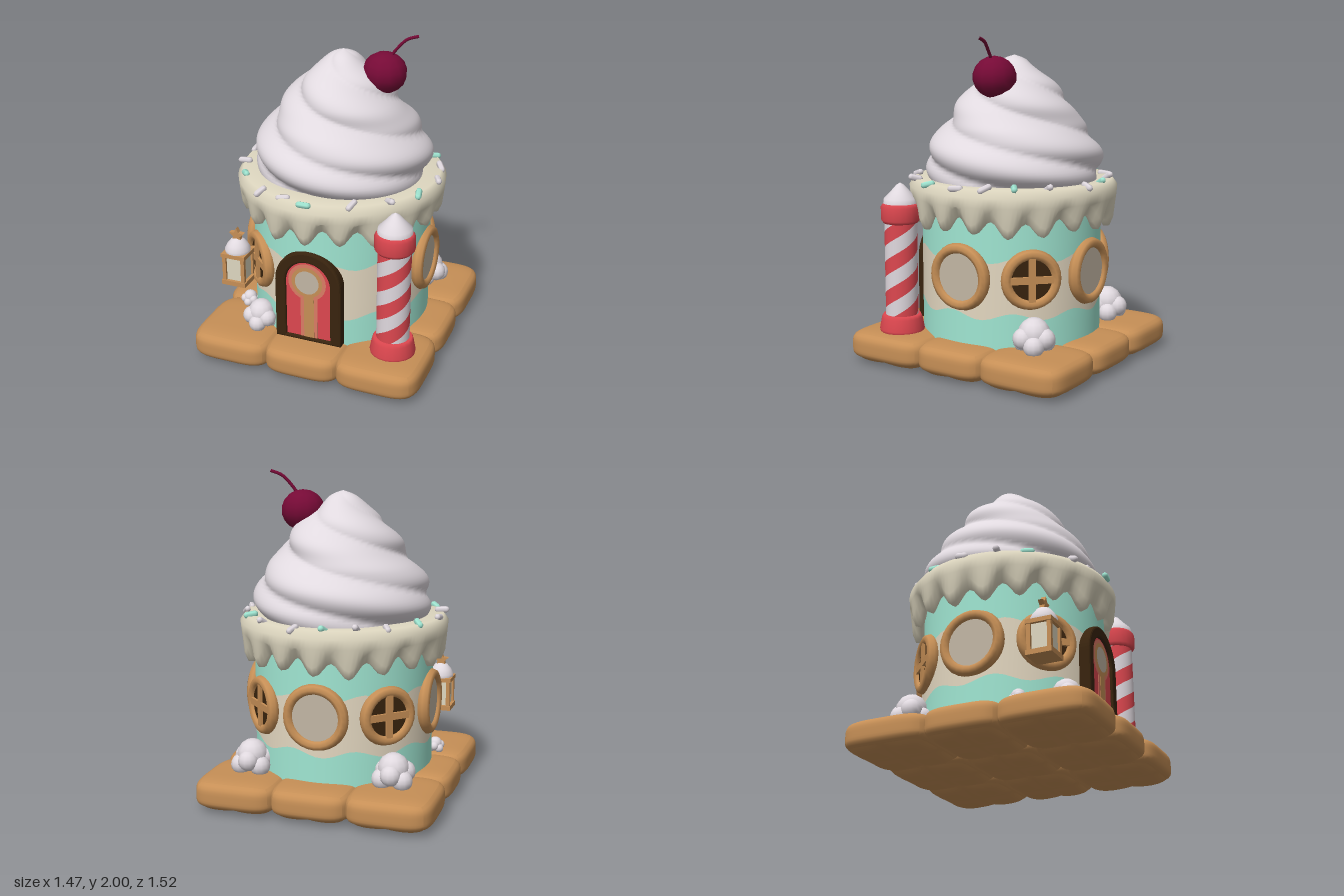
import * as THREE from 'three';

const TAU = Math.PI * 2;
const paint = (name, color) => {
  const m = new THREE.MeshStandardMaterial({ color });
  m.name = name;
  return m;
};

export function createModel() {
  const model = new THREE.Group();
  model.name = 'cupcakeHouse';
  const biscuit = paint('biscuit', 0xc68f56);
  const mint = paint('mint', 0xa0e6d2);
  const icing = paint('icing', 0xded7c0);
  const wall = paint('wallCream', 0xe3d7c0);
  const cream = paint('whippedCream', 0xe0d9df);
  const red = paint('candyRed', 0xdd474f);
  const chocolate = paint('chocolate', 0x39240e);
  const cherryRed = paint('cherryRed', 0x760a36);
  const glass = paint('glass', 0xc2b6a4);
  const salmon = paint('salmon', 0xdb7c64);

  let seed = 7;
  const rand = () => (seed = (seed * 16807) % 2147483647) / 2147483647;

  const add = (name, geo, mat, parent = model, x = 0, y = 0, z = 0) => {
    const m = new THREE.Mesh(geo, mat);
    m.name = name;
    m.position.set(x, y, z);
    parent.add(m);
    return m;
  };
  const group = (name, x = 0, y = 0, z = 0) => {
    const g = new THREE.Group();
    g.name = name;
    g.position.set(x, y, z);
    model.add(g);
    return g;
  };
  // Surface from fn(u, v) -> [angle, radius, y]; angle 0 faces +z
  const surface = (nu, nv, fn, closed = true) => {
    const pos = [], index = [], cols = closed ? nu : nu + 1;
    for (let j = 0; j <= nv; j++) for (let i = 0; i < cols; i++) {
      const [a, r, y] = fn(i / nu, j / nv);
      pos.push(Math.sin(a) * r, y, Math.cos(a) * r);
    }
    for (let j = 0; j < nv; j++) for (let i = 0; i < nu; i++) {
      const k = (i + 1) % cols, a = j * cols + i, b = j * cols + k;
      index.push(a, b, b + cols, a, b + cols, a + cols);
    }
    const g = new THREE.BufferGeometry();
    g.setAttribute('position', new THREE.Float32BufferAttribute(pos, 3));
    g.setIndex(index);
    g.computeVertexNormals();
    return g;
  };

  // Puffy pillow: a cube rounded by a power norm, with a lumpy underside
  const pillow = (w, h, d, n = 4.5) => {
    const g = new THREE.BoxGeometry(2, 2, 2, 16, 10, 16), p = g.attributes.position;
    for (let i = 0; i < p.count; i++) {
      const c = [p.getX(i), p.getY(i), p.getZ(i)];
      const s = c.reduce((t, q) => t + Math.abs(q) ** n, 0) ** (-1 / n) / 2;
      const lump = Math.sqrt(Math.abs(Math.sin(Math.PI * c[0]) * Math.sin(Math.PI * c[2])));
      const lift = c[1] < 0 ? 0.8 + 0.2 * lump : 1;
      p.setXYZ(i, c[0] * s * w, c[1] * s * h * lift, c[2] * s * d);
    }
    g.computeVertexNormals();
    return g;
  };

  // Biscuit base: three by three pillows
  const base = group('biscuitBase');
  for (let i = -1; i <= 1; i++) for (let k = -1; k <= 1; k++) {
    add('biscuitPillow', pillow(i ? 0.525 : 0.5, 0.2, k ? 0.56 : 0.48), biscuit, base,
      i * 0.47, 0.1, k * 0.479);
  }

  // Round wall in three bands with wavy borders
  const edges = [
    () => 0.15,
    a => 0.375 + 0.022 * Math.sin(9 * a + 1),
    a => 0.715 + 0.022 * Math.sin(9 * a),
    () => 1.02,
  ];
  ['lowerWallBand', 'middleWallBand', 'upperWallBand'].forEach((name, b) => {
    add(name, surface(72, 3, (u, v) => {
      const a = u * TAU;
      return [a, 0.555, THREE.MathUtils.lerp(edges[b](a), edges[b + 1](a), v)];
    }), b === 1 ? wall : mint);
  });

  // Dripping icing rim
  add('icingRim', surface(144, 7, (u, v) => {
    const a = u * TAU;
    const drip = 0.9 - 0.045 * Math.cos(18 * a) + 0.015 * Math.sin(5 * a);
    const bulge = 0.008 * Math.cos(18 * a);
    const section = [[0.545, drip + 0.06], [0.565, drip], [0.595 + bulge, drip + 0.005],
      [0.618 + bulge, drip + 0.06], [0.638, 1.03], [0.643, 1.09], [0.61, 1.135], [0.44, 1.13]];
    const [r, y] = section[Math.round(v * 7)];
    return [a, r, y];
  }), icing, model, -0.005, 0, -0.01);

  // Whipped cream roof with three winding ridges
  const profile = new THREE.SplineCurve([[0.49, 1.09], [0.535, 1.2], [0.52, 1.32], [0.45, 1.43],
    [0.385, 1.51], [0.335, 1.6], [0.25, 1.7], [0.155, 1.78], [0.075, 1.85], [0, 1.88]]
    .map(p => new THREE.Vector2(...p)));
  add('creamSwirl', surface(108, 64, (u, v) => {
    const p = profile.getPoint(v), a = u * TAU;
    const ridge = Math.abs(Math.sin(Math.PI * (3 * u + p.y / 0.22 - 0.07)));
    const amp = 0.048 * Math.min(1, p.x / 0.3);
    return [a, Math.max(0, p.x + amp * (ridge - 0.65)), p.y];
  }), cream, model, 0, 0, -0.02);

  // Cherry and stem
  add('cherry', new THREE.SphereGeometry(0.132, 12, 9), cherryRed, model, 0.25, 1.755, -0.042)
    .scale.set(1.03, 0.95, 0.98);
  const stem = new THREE.CatmullRomCurve3([[0.28, 1.85, -0.045], [0.325, 1.91, -0.05],
    [0.38, 1.965, -0.06], [0.45, 1.99, -0.065]].map(p => new THREE.Vector3(...p)));
  add('cherryStem', new THREE.TubeGeometry(stem, 12, 0.01, 6), cherryRed);

  // Sprinkles around the rim
  const sprinkles = group('sprinkles');
  for (let i = 0; i < 18; i++) {
    const a = (i + rand() * 0.6) / 18 * TAU, r = 0.575 + rand() * 0.045;
    const s = add('sprinkle', new THREE.CapsuleGeometry(0.02, 0.05, 3, 6), i % 3 ? cream : mint,
      sprinkles, Math.sin(a) * r, 1.13 + rand() * 0.015, Math.cos(a) * r);
    s.rotation.set(Math.PI / 2 + (rand() - 0.5) * 1.4, 0, rand() * TAU);
  }

  // Candy pillar with helical stripes
  const pillar = group('candyPillar', 0.51, 0, 0.475);
  for (let s = 0; s < 4; s++) {
    add('pillarStripe', surface(90, 3, (u, v) => {
      const turn = -1.1 + 2.9 * u;
      const y = 0.29 + 0.38 * turn + 0.095 * (s + v);
      return [turn * TAU, 0.1, THREE.MathUtils.clamp(y, 0.27, 0.9)];
    }, false), s % 2 ? cream : red, pillar);
  }
  const lathe = pts => new THREE.LatheGeometry(pts.map(p => new THREE.Vector2(...p)), 20);
  add('pillarFoot', lathe([[0, 0.18], [0.135, 0.18], [0.138, 0.21], [0.125, 0.28], [0.115, 0.3], [0, 0.3]]), red, pillar);
  add('pillarCollar', lathe([[0, 0.87], [0.105, 0.87], [0.12, 0.89], [0.12, 0.97], [0.105, 0.99], [0, 0.99]]), red, pillar);
  add('pillarTip', lathe([[0.105, 0.985], [0.1, 1.02], [0.06, 1.06], [0.025, 1.1], [0, 1.115]]), cream, pillar);

  // Arched door
  const arch = (Kind, w, h) => {
    const s = new Kind();
    s.moveTo(-w, 0);
    s.lineTo(w, 0);
    s.lineTo(w, h - w);
    s.absarc(0, h - w, w, 0, Math.PI, false);
    s.closePath();
    return s;
  };
  const extrude = (shape, depth, bevel = 0) => new THREE.ExtrudeGeometry(shape, {
    depth, curveSegments: 16, bevelEnabled: bevel > 0, bevelSize: bevel, bevelThickness: bevel, bevelSegments: 2,
  });
  const door = group('door', 0, 0.2, 0);
  const frame = arch(THREE.Shape, 0.2, 0.58);
  frame.holes.push(arch(THREE.Path, 0.155, 0.535));
  add('doorFrame', extrude(frame, 0.09, 0.012), chocolate, door, 0, 0.01, 0.477);
  add('doorPanel', extrude(arch(THREE.Shape, 0.155, 0.535), 0.072), red, door, 0, 0.01, 0.49);
  add('doorStripBorder', new THREE.BoxGeometry(0.11, 0.36, 0.004), salmon, door, 0.005, 0.2, 0.563);
  add('doorStrip', new THREE.BoxGeometry(0.065, 0.36, 0.006), biscuit, door, 0.005, 0.2, 0.564);
  add('doorWindowBorder', new THREE.CircleGeometry(0.122, 28), salmon, door, -0.005, 0.4, 0.5665);
  add('doorWindowRing', new THREE.CircleGeometry(0.1, 28), biscuit, door, -0.005, 0.4, 0.569);
  add('doorWindow', new THREE.CircleGeometry(0.077, 28), glass, door, -0.005, 0.4, 0.5715);

  // Round windows; every other one has crossbars
  for (let i = 0; i < 6; i++) {
    const barred = i % 2 === 1;
    const g = group(barred ? 'barredWindow' : 'roundWindow', 0, 0.6, 0);
    g.rotation.y = (i + 2) * Math.PI / 4;
    const r = barred ? 0.148 : 0.17;
    add('windowFrame', new THREE.TorusGeometry(r, 0.033, 8, 28), biscuit, g, 0, 0, 0.552).scale.z = 1.2;
    const pane = new THREE.CylinderGeometry(r, r, 0.08, 28).rotateX(Math.PI / 2);
    add('windowPane', pane, barred ? chocolate : glass, g, 0, 0, 0.527);
    if (!barred) continue;
    add('windowBar', new THREE.BoxGeometry(0.042, 0.28, 0.03), biscuit, g, 0, 0, 0.568);
    add('windowBar', new THREE.BoxGeometry(0.28, 0.042, 0.03), biscuit, g, 0, 0, 0.568);
  }

  // Whipped cream puffs on the base
  const puff = (x, z, size) => {
    const g = group('creamPuff', x, 0.19, z);
    for (let i = 0; i < 7; i++) {
      const a = i * TAU / 6, ring = i < 6 ? 0.58 : 0;
      add('puffLobe', new THREE.SphereGeometry(size * (ring ? 0.52 : 0.78), 12, 8), cream, g,
        Math.sin(a) * ring * size, size * (ring ? 0.42 + 0.3 * (i % 2) : 0.9), Math.cos(a) * ring * size);
    }
  };
  puff(-0.35, 0.49, 0.105);
  puff(-0.445, -0.445, 0.122);
  puff(0.445, -0.445, 0.122);
  puff(-0.53, 0.28, 0.055);

  // Lantern on a wall bracket
  const lantern = group('lantern', -0.525, 0, 0.435);
  add('lanternFloor', new THREE.BoxGeometry(0.16, 0.03, 0.16), biscuit, lantern, 0, 0.455, 0);
  add('lanternGlass', new THREE.BoxGeometry(0.12, 0.17, 0.12), icing, lantern, 0, 0.55, 0);
  add('lanternTop', new THREE.BoxGeometry(0.16, 0.025, 0.16), biscuit, lantern, 0, 0.64, 0);
  for (const x of [-1, 1]) for (const z of [-1, 1]) {
    add('lanternPost', new THREE.BoxGeometry(0.024, 0.18, 0.024), biscuit, lantern, x * 0.062, 0.55, z * 0.062);
  }
  add('lanternCream', lathe([[0.078, 0.65], [0.08, 0.67], [0.065, 0.7], [0.04, 0.73], [0, 0.745]]), cream, lantern);
  const star = new THREE.Shape(Array.from({ length: 10 }, (_, i) => {
    const r = i % 2 ? 0.024 : 0.05, a = -i * TAU / 10;
    return new THREE.Vector2(Math.sin(a) * r, Math.cos(a) * r);
  }));
  add('lanternStar', extrude(star, 0.03), biscuit, lantern, 0, 0.76, -0.015);
  add('lanternBracket', new THREE.BoxGeometry(0.03, 0.03, 0.16), biscuit, lantern, 0.06, 0.64, -0.06)
    .rotation.y = -Math.PI / 4;

  return model;
}
